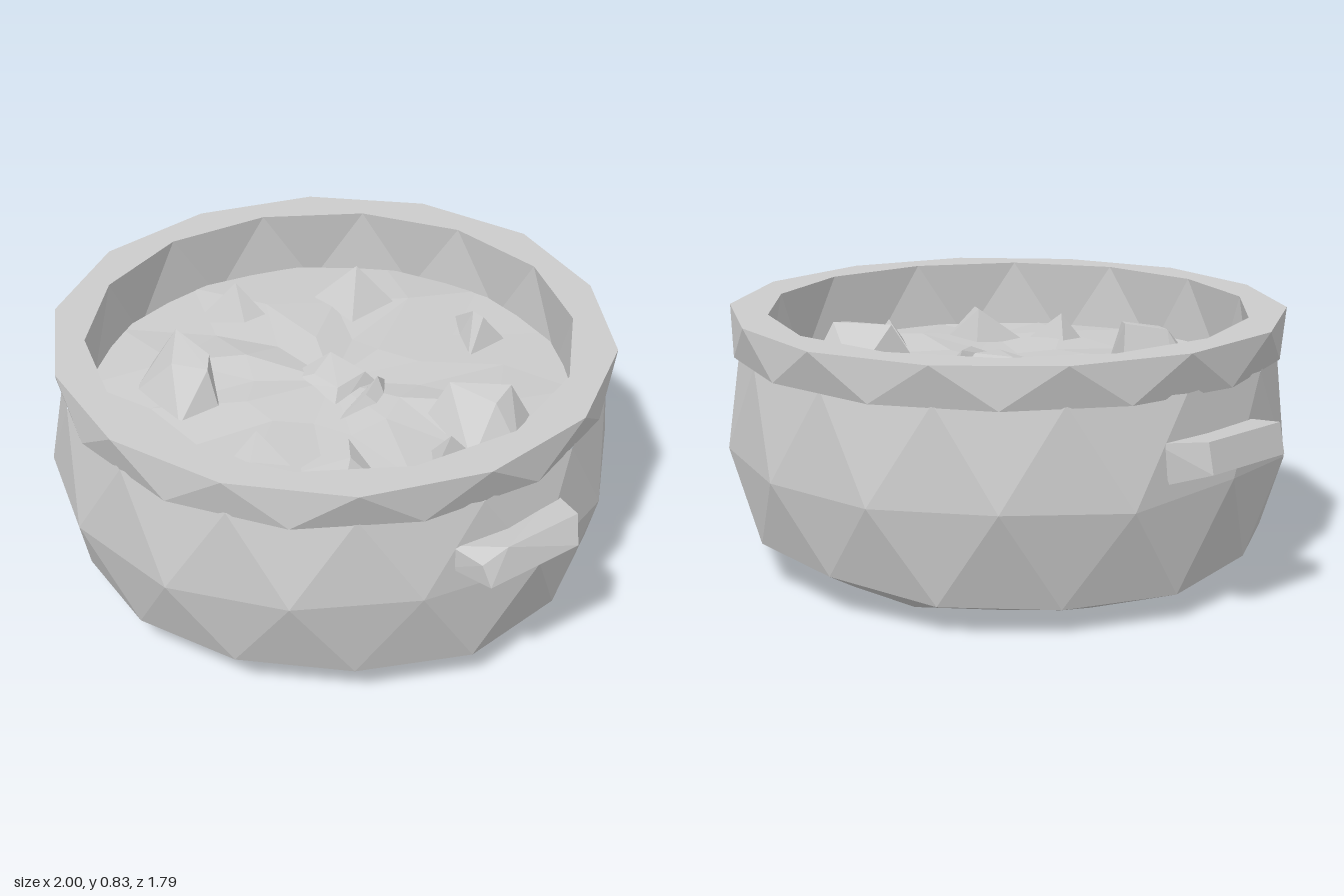
import * as THREE from 'three';
import { ConvexGeometry } from 'three/addons/geometries/ConvexGeometry.js';

const SIDES = 14;

// Small seeded generator for the hand-cut irregularity, returns -1..1
function seeded(seed) {
  let s = seed;
  return () => {
    s = (s * 16807) % 2147483647;
    return (s / 2147483647) * 2 - 1;
  };
}

// Skin of staggered rings; each ring is [radius, y, radius jitter, y jitter]
function ringSkin(rings, phase, seed) {
  const rand = seeded(seed);
  const pos = [], index = [];
  rings.forEach(([r, y, jr = 0, jy = 0], k) => {
    for (let i = 0; i < SIDES; i++) {
      const a = phase + ((i + k / 2) / SIDES) * Math.PI * 2;
      const rr = r + rand() * jr;
      pos.push(Math.sin(a) * rr, y + rand() * jy, Math.cos(a) * rr);
    }
  });
  for (let k = 0; k < rings.length - 1; k++) {
    for (let i = 0; i < SIDES; i++) {
      const j = (i + 1) % SIDES, a = k * SIDES, b = a + SIDES;
      index.push(a + i, a + j, b + i, a + j, b + j, b + i);
    }
  }
  const g = new THREE.BufferGeometry();
  g.setAttribute('position', new THREE.Float32BufferAttribute(pos, 3));
  g.setIndex(index);
  g.computeVertexNormals();
  return g;
}

const hull = (pts) => new ConvexGeometry(pts.map((p) => new THREE.Vector3(...p)));

export function createModel() {
  const group = new THREE.Group();
  const stone = new THREE.MeshStandardMaterial({ color: 0xcccccc, flatShading: true });
  stone.name = 'pale grey';
  const add = (name, geometry) => {
    const m = new THREE.Mesh(geometry, stone);
    m.name = name;
    group.add(m);
  };

  // Pot body: flat base, bevelled foot, bulging belly, neck under the rim
  add('potBody', ringSkin([
    [0, 0.0], [0.6, 0.005, 0.02, 0.004], [0.83, 0.11, 0.015, 0.03],
    [0.895, 0.4, 0.012, 0.02], [0.86, 0.71, 0.008, 0.004],
  ], 0.08, 11));

  // Rim: overhang, outer face, flat top and inner wall
  add('rim', ringSkin([
    [0.82, 0.705], [0.875, 0.7, 0.006, 0.004], [0.892, 0.832, 0.01],
    [0.775, 0.832, 0.008], [0.785, 0.56, 0.006],
  ], 0.08, 23));

  // Stew surface, gently uneven
  add('stew', ringSkin([
    [0.785, 0.615], [0.55, 0.625, 0.06, 0.02], [0.28, 0.635, 0.05, 0.02], [0, 0.64],
  ], 0.2, 37));

  // Handles
  add('leftHandle', hull([
    [0.82, 0.57, -0.2], [0.82, 0.57, 0.22], [0.82, 0.45, -0.2], [0.82, 0.49, 0.22],
    [0.96, 0.59, -0.16], [0.96, 0.6, 0.12], [0.95, 0.57, 0.21],
    [1.0, 0.51, -0.13], [0.98, 0.5, 0.2],
  ]));
  add('rightHandle', hull([
    [-0.82, 0.57, -0.22], [-0.82, 0.57, 0.2], [-0.86, 0.45, -0.2], [-0.86, 0.45, 0.18],
    [-0.98, 0.595, -0.17], [-0.98, 0.595, 0.16],
    [-1.0, 0.5, -0.17], [-1.0, 0.5, 0.16],
  ]));

  // Food chunks: outline at the stew [x, z], then the raised top [x, z], and height
  const chunks = [
    [[[-0.52, -0.42], [-0.23, -0.5], [-0.23, -0.27], [-0.48, -0.27]], [[-0.35, -0.39]], 0.765],
    [[[-0.1, -0.6], [0.14, -0.64], [0.16, -0.44], [0.02, -0.52]], [[0.1, -0.56], [0.04, -0.57]], 0.71],
    [[[0.32, -0.38], [0.54, -0.38], [0.62, -0.24], [0.58, -0.08], [0.32, -0.1]],
      [[0.5, -0.31], [0.36, -0.18], [0.53, -0.22]], 0.75],
    [[[-0.68, -0.13], [-0.45, -0.11], [-0.47, -0.01], [-0.61, 0.11]], [[-0.55, -0.03]], 0.74],
    [[[-0.12, -0.1], [0.1, -0.14], [0.13, 0.1], [-0.15, 0.1]],
      [[-0.08, -0.06], [0.07, -0.08], [0.08, 0.04], [-0.04, 0.04]], 0.685],
    [[[0.07, -0.18], [0.23, -0.06], [0.18, 0.18], [0.1, 0]], [[0.12, -0.09], [0.17, 0]], 0.68],
    [[[-0.46, 0.29], [-0.24, 0.29], [-0.11, 0.36], [-0.14, 0.5], [-0.39, 0.5], [-0.48, 0.38]],
      [[-0.4, 0.32], [-0.22, 0.32], [-0.16, 0.37], [-0.27, 0.43]], 0.765],
    [[[0.36, 0.21], [0.53, 0.21], [0.52, 0.39], [0.28, 0.39]], [[0.39, 0.25], [0.46, 0.3]], 0.73],
    [[[0.11, 0.38], [0.31, 0.37], [0.22, 0.51], [0.12, 0.51]], [[0.17, 0.43]], 0.72],
    [[[0.46, 0], [0.58, -0.11], [0.58, 0.09]], [[0.55, -0.02]], 0.71],
  ];
  chunks.forEach(([base, top, h], i) => add('foodChunk' + (i + 1), hull([
    ...base.map(([x, z]) => [x, 0.6, z]),
    ...top.map(([x, z], k) => [x, h - k * 0.008, z]),
  ])));

  return group;
}
